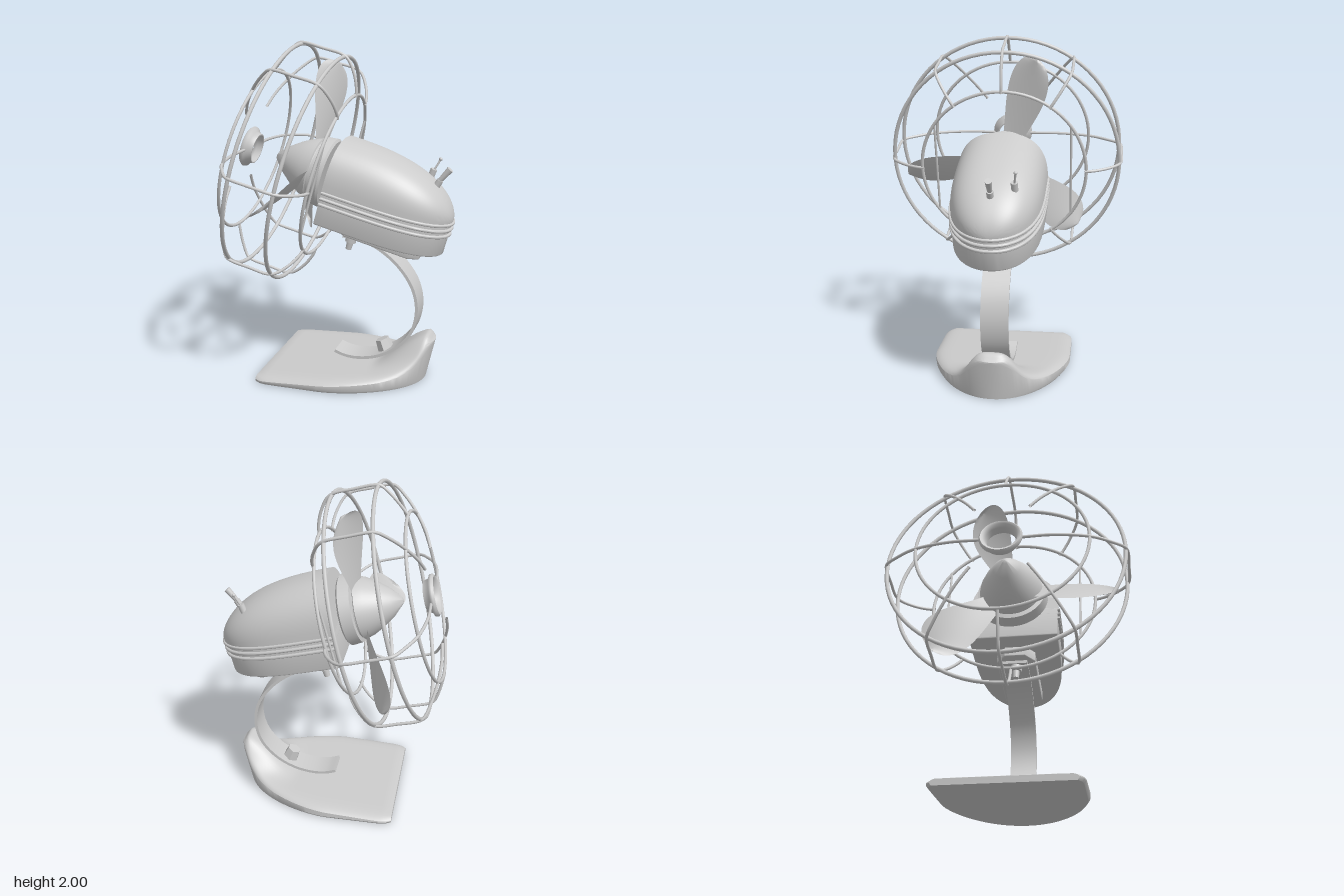
import * as THREE from 'three';
import { toCreasedNormals } from 'three/addons/utils/BufferGeometryUtils.js';

const TILT = THREE.MathUtils.degToRad(15);
const grey = new THREE.MeshStandardMaterial({ color: 0xcccccc });
const thin = new THREE.MeshStandardMaterial({ color: 0xcccccc, side: THREE.DoubleSide });

function add(parent, name, geometry, material = grey) {
  const mesh = new THREE.Mesh(geometry, material);
  mesh.name = name;
  parent.add(mesh);
  return mesh;
}

// Grid surface from f(u, v, i, j) -> [x, y, z], u and v in 0..1
function surface(nu, nv, f, crease = 0.6) {
  const pos = [], index = [];
  for (let i = 0; i <= nu; i++)
    for (let j = 0; j <= nv; j++) pos.push(...f(i / nu, j / nv, i, j));
  for (let i = 0; i < nu; i++)
    for (let j = 0; j < nv; j++) {
      const a = i * (nv + 1) + j, b = a + nv + 1;
      index.push(a, b, a + 1, b, b + 1, a + 1);
    }
  const g = new THREE.BufferGeometry();
  g.setAttribute('position', new THREE.Float32BufferAttribute(pos, 3));
  g.setIndex(index);
  return toCreasedNormals(g, crease);
}

// Solid of revolution around the fan axis; profile is [radius, axial]
function lathe(profile, crease = 0.6) {
  const g = new THREE.LatheGeometry(profile.map(p => new THREE.Vector2(...p)), 48);
  return toCreasedNormals(g.rotateZ(-Math.PI / 2), crease);
}

// Rod between two points
function rod(parent, name, a, b, r0, r1 = r0, sides = 16) {
  const p = new THREE.Vector3(...a), q = new THREE.Vector3(...b), d = q.clone().sub(p);
  const m = add(parent, name, new THREE.CylinderGeometry(r1, r0, d.length(), sides));
  m.position.copy(p).add(q).multiplyScalar(0.5);
  m.quaternion.setFromUnitVectors(new THREE.Vector3(0, 1, 0), d.normalize());
  return m;
}

// Horizontal slab: plan shape in x/z, raised from y0 to y1
function slab(shape, y0, y1, bevel) {
  const g = new THREE.ExtrudeGeometry(shape, {
    depth: y1 - y0 - 2 * bevel, bevelSize: bevel,
    bevelThickness: bevel, bevelOffset: -bevel, bevelSegments: 3,
  });
  return toCreasedNormals(g.rotateX(-Math.PI / 2).translate(0, y0 + bevel, 0), 0.6);
}

const BACK = 0.14, LEN = 0.74;
const motorWidth = t => 0.268 * Math.sqrt(Math.max(0, 1 - t ** 4));

function motorPlan(grow) {
  const right = [];
  for (let i = 0; i <= 24; i++) {
    const t = Math.sin(i / 24 * Math.PI / 2);
    right.push(new THREE.Vector2(BACK + t * (LEN + grow), motorWidth(t) * (1 + grow / 0.268)));
  }
  const left = right.slice(0, -1).map(p => new THREE.Vector2(p.x, -p.y));
  return new THREE.Shape([...left, ...right.reverse()]);
}

function buildMotor(fan) {
  const motor = new THREE.Group();
  motor.name = 'motorHousing';
  fan.add(motor);
  // Domed upper shell, closed at the front
  add(motor, 'motorDome', surface(30, 32, (u, v, i) => {
    const t = Math.sin(Math.max(0, i - 1) / 29 * Math.PI / 2), a = v * Math.PI;
    const k = i === 0 ? 0 : 1;
    const w = motorWidth(t) * k, h = 0.288 * Math.max(0, 1 - t ** 2.6) ** 0.57 * k;
    const c = Math.cos(a), s = Math.max(0, Math.sin(a));
    return [BACK + t * LEN, -0.04 + h * s ** 0.8, w * Math.sign(c) * Math.abs(c) ** 0.8];
  }));
  add(motor, 'motorLowerBody', slab(motorPlan(-0.003), -0.243, -0.035, 0.008));
  for (const y of [-0.045, -0.08, -0.115])
    add(motor, 'trimRib', slab(motorPlan(0.011), y - 0.009, y + 0.009, 0.007));
  // Chamfered mounting block underneath
  const block = new THREE.Shape([[0.24, -0.06], [0.3, -0.115], [0.7, -0.115], [0.76, -0.06],
    [0.76, 0.06], [0.7, 0.115], [0.3, 0.115], [0.24, 0.06]].map(p => new THREE.Vector2(...p)));
  add(motor, 'mountBlock', slab(block, -0.308, -0.23, 0.006));
  rod(motor, 'tiltKnobStem', [0.325, -0.29, 0], [0.325, -0.365, 0], 0.034);
  rod(motor, 'tiltKnobTip', [0.325, -0.36, 0], [0.325, -0.415, 0], 0.022, 0.018);
  // Toggle switches
  rod(motor, 'switchCollar', [0.725, 0.13, 0], [0.738, 0.175, 0], 0.02);
  rod(motor, 'switchLever', [0.73, 0.16, 0], [0.775, 0.255, 0], 0.013, 0.02);
  rod(motor, 'smallSwitchCollar', [0.66, 0.12, -0.125], [0.668, 0.195, -0.125], 0.02);
  rod(motor, 'smallSwitchLever', [0.668, 0.18, -0.125], [0.688, 0.26, -0.135], 0.006);
  add(motor, 'smallSwitchBall', new THREE.SphereGeometry(0.011, 16, 12)).position.set(0.688, 0.262, -0.135);
  rod(motor, 'shaft', [0.06, 0, 0], [0.15, 0, 0], 0.06);
}

function buildPropeller(fan) {
  const prop = new THREE.Group();
  prop.name = 'propeller';
  fan.add(prop);
  // Pointed nose with a thick rear flange
  add(prop, 'noseCone', lathe([[0, -0.255], [0.02, -0.248], [0.08, -0.19], [0.132, -0.12],
    [0.172, -0.05], [0.188, 0], [0.178, 0.006], [0.178, 0.014], [0.204, 0.018], [0.213, 0.085], [0.2, 0.097], [0, 0.097]]));
  // Three twisted, rounded blades, flatter at the root
  for (let k = 0; k < 3; k++) {
    const blade = add(prop, 'blade', surface(28, 14, (u, v) => {
      const q = Math.sin(u * Math.PI / 2), r = 0.12 + 0.53 * q;
      const w = (0.06 + 0.082 * Math.sin(Math.min(1, q / 0.8) * Math.PI / 2) ** 1.4)
        * Math.sqrt(Math.max(0, 1 - q ** 8));
      const c = 2 * v - 1, pitch = 0.3 + 0.35 * q;
      const camber = 0.025 * (1 - c * c) * q;
      return [-0.01 - 0.085 * q - c * w * Math.sin(pitch) + camber, r, c * w * Math.cos(pitch)];
    }, 1), thin);
    blade.rotation.x = THREE.MathUtils.degToRad(-17 + 120 * k);
  }
}

function buildGuard(fan) {
  const guard = new THREE.Group();
  guard.name = 'guard';
  fan.add(guard);
  const rings = [[-0.267, 0.69, 0.012], [0, 0.69, 0.012], [-0.39, 0.495, 0.01], [0.122, 0.495, 0.01]];
  for (const [x, r, t] of rings)
    add(guard, 'guardRing', new THREE.TorusGeometry(r, t, 8, 72).rotateY(Math.PI / 2)).position.x = x;
  // Bent wires following the cage profile [axial, radius]
  const cage = [[-0.39, 0.505], [-0.34, 0.61], [-0.285, 0.69], [-0.25, 0.702], [-0.13, 0.703],
    [-0.02, 0.702], [0.025, 0.685], [0.085, 0.61], [0.12, 0.53], [0.128, 0.485]];
  const starts = { upright: [], diagonal: [[-0.445, 0.28], [-0.43, 0.38]], side: [[-0.425, 0.115], [-0.425, 0.3]] };
  const wires = [[0, 'upright'], [180, 'upright'], [90, 'side'], [-90, 'side'],
    [35, 'diagonal'], [-35, 'diagonal'], [145, 'diagonal'], [-145, 'diagonal']];
  for (const [deg, kind] of wires) {
    const a = THREE.MathUtils.degToRad(deg);
    const path = [...starts[kind], ...cage].map(([x, r]) => new THREE.Vector3(x, r * Math.cos(a), r * Math.sin(a)));
    add(guard, kind + 'Wire', new THREE.TubeGeometry(new THREE.CatmullRomCurve3(path), 60, 0.009, 8), thin);
  }
  // Upright braces across the rear ring
  for (const z of [-0.404, 0.404]) rod(guard, 'rearBrace', [0.122, -0.285, z], [0.122, 0.285, z], 0.007, 0.007, 8);
  // Open centre ring
  add(guard, 'centreRing', lathe([[0.085, -0.385], [0.09, -0.425], [0.1, -0.447], [0.115, -0.452],
    [0.125, -0.44], [0.122, -0.425], [0.1, -0.415], [0.092, -0.385], [0.085, -0.385]], 1), thin);
}

function buildBase(root) {
  const base = new THREE.Group();
  base.name = 'base';
  root.add(base);
  const ramp = (x, a, b) => THREE.MathUtils.smoothstep(x, a, b);
  const halfWidth = x => {
    const t = Math.min(1, Math.max(0, (x + 0.02) / 0.56));
    return 0.42 * Math.sqrt(1 - t ** 1.6) * (1 - 0.07 * Math.exp(-(x + 0.42) / 0.025));
  };
  // Plate with a narrow swept-up tail
  const top = (x, z) => {
    const hump = 0.2 * ramp(x, 0.22, 0.5) / (1 + (Math.abs(z) / 0.145) ** 4);
    return (0.045 + 0.05 * (x + 0.42) / 0.96 + hump) * (1 - 0.17 * ramp(x, 0.48, 0.55));
  };
  const NV = 40;
  add(base, 'basePlate', surface(48, NV, (u, v, i, j) => {
    const x = -0.42 + 0.96 * Math.sin(Math.max(0, i - 1) / 47 * Math.PI / 2);
    const b = halfWidth(x);
    if (i === 0) return [x, 0.02, 0];
    if (j === 0 || j === NV) return [x, 0, b * 0.97];
    if (j === NV - 1) return [x, 0, -b * 0.97];
    const s = Math.cos((j - 2) / (NV - 4) * Math.PI);
    let z = b * Math.max(-1, Math.min(1, s)), y = top(x, z);
    if (j === 1 || j === NV - 2) { z = b * (j === 1 ? 1 : -1); y = 0.015; }
    else y -= 0.025 * Math.abs(s) ** 14;
    if (i === 1) y = Math.min(y, 0.036);
    return [x + 0.23 * y * ramp(x, 0.2, 0.5), y, z];
  }, 0.7));
  // Curved spring arm
  const curve = new THREE.CatmullRomCurve3([[0.03, 0.865], [0.12, 0.855], [0.25, 0.805], [0.38, 0.7], [0.465, 0.57],
    [0.49, 0.43], [0.455, 0.29], [0.36, 0.18], [0.24, 0.115], [0.12, 0.093], [0.04, 0.1], [-0.02, 0.12]]
    .map(p => new THREE.Vector3(p[0], p[1], 0)));
  const outer = [], inner = [];
  for (let i = 0; i <= 60; i++) {
    const p = curve.getPoint(i / 60), t = curve.getTangent(i / 60);
    outer.push(new THREE.Vector2(p.x - t.y * 0.009, p.y + t.x * 0.009));
    inner.push(new THREE.Vector2(p.x + t.y * 0.009, p.y - t.x * 0.009));
  }
  const strip = new THREE.ExtrudeGeometry(new THREE.Shape([...outer, ...inner.reverse()]), { depth: 0.16, bevelEnabled: false });
  add(base, 'springArm', toCreasedNormals(strip.translate(0, 0, -0.09), 0.6));
  const nut = rod(base, 'armNut', [0.295, 0.125, -0.01], [0.262, 0.205, -0.01], 0.054, 0.042, 6);
  nut.geometry = toCreasedNormals(nut.geometry, 0.3);
}

export function createModel() {
  const root = new THREE.Group();
  root.name = 'deskFan';
  // Tilted head: local +x runs from the nose back to the motor
  const fan = new THREE.Group();
  fan.name = 'fanHead';
  fan.position.set(-0.16, 1.25, 0);
  fan.rotation.z = -TILT;
  root.add(fan);
  buildMotor(fan);
  buildPropeller(fan);
  buildGuard(fan);
  buildBase(root);
  return root;
}
